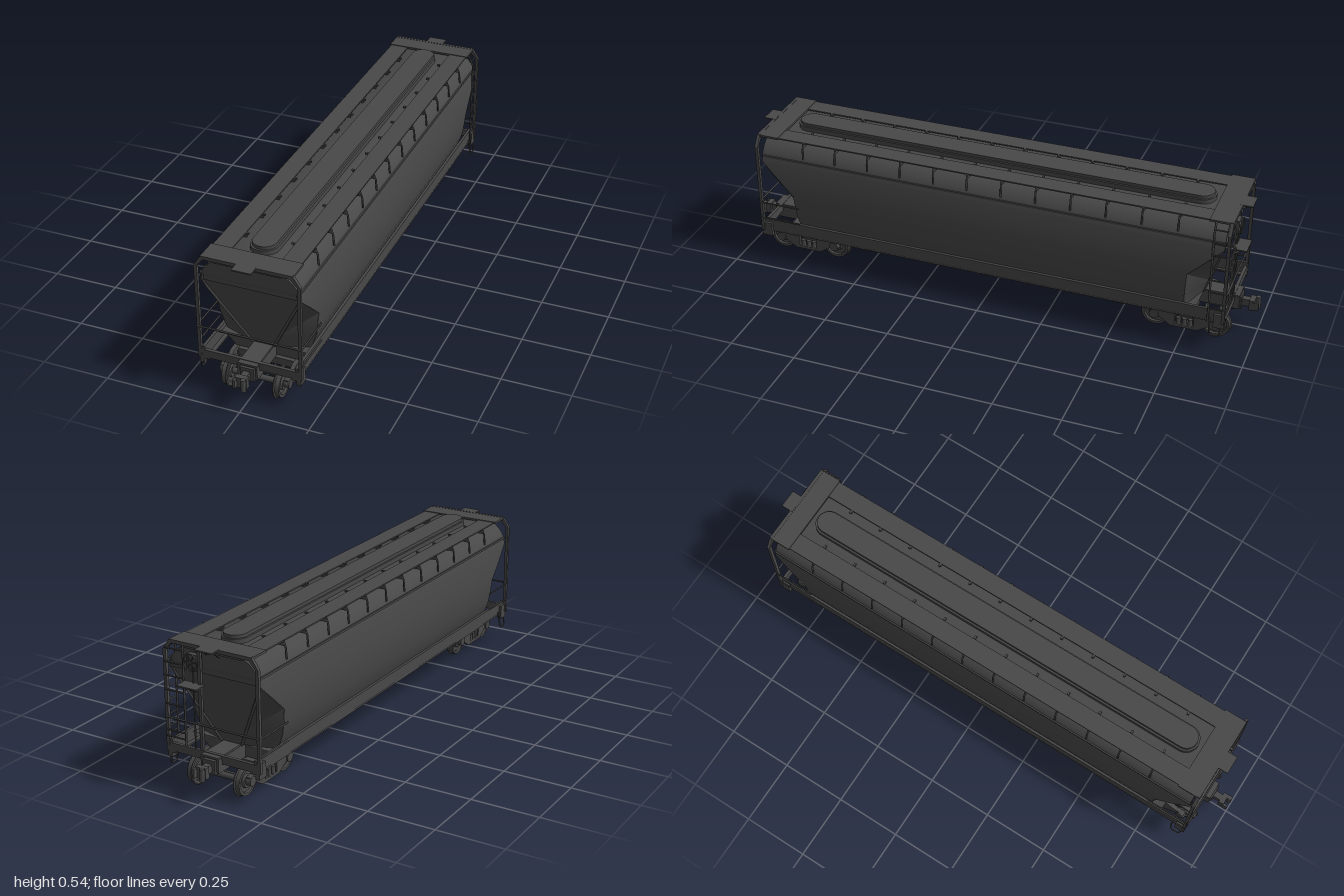
import * as THREE from 'three';
import { toCreasedNormals } from 'three/addons/utils/BufferGeometryUtils.js';

const grey = new THREE.MeshStandardMaterial({ color: 0x484848, side: THREE.DoubleSide });
grey.name = 'dark grey paint';

export function createModel() {
  const car = new THREE.Group();
  car.name = 'coveredHopperCar';

  const add = (name, geo, x = 0, y = 0, z = 0, parent = car) => {
    const m = new THREE.Mesh(geo, grey);
    m.name = name;
    m.position.set(x, y, z);
    parent.add(m);
    return m;
  };
  const box = (name, w, h, d, x, y, z, parent) => add(name, new THREE.BoxGeometry(w, h, d), x, y, z, parent);
  // straight rods joining a list of points
  const rod = (name, pts, r = 0.003, parent = car) => {
    const path = new THREE.CurvePath();
    const v = pts.map(p => new THREE.Vector3(...p));
    for (let i = 1; i < v.length; i++) path.add(new THREE.LineCurve3(v[i - 1], v[i]));
    return add(name, new THREE.TubeGeometry(path, (v.length - 1) * 4, r, 6), 0, 0, 0, parent);
  };
  // surface through rows of points with equal counts
  const sheet = (name, rows, parent = car) => {
    const n = rows[0].length, idx = [];
    for (let i = 0; i < rows.length - 1; i++)
      for (let j = 0; j < n - 1; j++) {
        const a = i * n + j, b = a + n;
        idx.push(a, b, a + 1, b, b + 1, a + 1);
      }
    const g = new THREE.BufferGeometry();
    g.setAttribute('position', new THREE.Float32BufferAttribute(rows.flat(2), 3));
    g.setIndex(idx);
    g.computeVertexNormals();
    return add(name, toCreasedNormals(g, 0.5), 0, 0, 0, parent);
  };
  const axle = (name, r, len, x, y, z, parent, seg = 24) => {
    const m = add(name, new THREE.CylinderGeometry(r, r, len, seg), x, y, z, parent);
    m.rotation.z = Math.PI / 2;
    return m;
  };

  // Body shell: half cross-section from sill to roof centre, mirrored
  const half = [[0.155, 0.14], [0.166, 0.17], [0.177, 0.2], [0.184, 0.24], [0.19, 0.3], [0.187, 0.36], [0.18, 0.42],
    [0.175, 0.445], [0.167, 0.462], [0.155, 0.478], [0.138, 0.493], [0.11, 0.505], [0, 0.51]];
  const endZ = y => y >= 0.42 ? 0.89 : y >= 0.3 ? 0.765 + (y - 0.3) / 0.12 * 0.125 : 0.755 + (y - 0.14) / 0.16 * 0.01;
  const section = [...half, ...half.slice(0, -1).reverse().map(([x, y]) => [-x, y])];
  sheet('bodyShell', [1, -1].map(s => section.map(([x, y]) => [x, y, s * endZ(y)])));

  // Sloped underside between the discharge bays
  const bays = [0.505, 0.035, -0.49];
  const floor = [[0.15, 0.8], [0.115, 0.595], [0.115, 0.415], [0.25, 0.27], [0.115, 0.125], [0.115, -0.055],
    [0.26, -0.228], [0.115, -0.4], [0.115, -0.58], [0.15, -0.8]];
  for (let i = 0; i < floor.length - 1; i++)
    sheet('floorSlope', [floor[i], floor[i + 1]].map(([y, z]) => [[-0.165, y, z], [0.165, y, z]]));

  // Discharge hoppers
  for (const c of bays) {
    const ring = (w, d, y) => [[w, y, c + d], [-w, y, c + d], [-w, y, c - d], [w, y, c - d], [w, y, c + d]];
    sheet('hopper', [ring(0.145, 0.1, 0.12), ring(0.115, 0.095, 0.105), ring(0.055, 0.032, 0.048), ring(0.055, 0.032, 0.04)]);
    box('hopperGate', 0.14, 0.008, 0.05, 0, 0.042, c);
    box('gateOutlet', 0.1, 0.014, 0.03, 0, 0.034, c);
    for (const s of [1, -1]) rod('hopperFlange', [[-0.145, 0.115, c + s * 0.1], [0.145, 0.115, c + s * 0.1]], 0.004);
  }

  // Side sills and eave strips
  for (const s of [1, -1]) {
    box('sideSill', 0.01, 0.05, 1.82, s * 0.17, 0.14, 0);
    box('sillLip', 0.025, 0.006, 1.82, s * 0.163, 0.117, 0);
    box('eaveStrip', 0.005, 0.008, 1.78, s * 0.177, 0.444, 0);
    box('roofWalkway', 0.07, 0.005, 1.66, s * 0.125, 0.519, 0);
    // Walkway brackets
    for (let i = 0; i < 12; i++) {
      const z = -0.72 + i * 0.131;
      rod('walkwayBracket', [[s * 0.173, 0.458, z], [s * 0.169, 0.5, z], [s * 0.16, 0.521, z]], 0.0035);
      box('walkwayBolt', 0.012, 0.006, 0.008, s * 0.083, 0.52, z);
      box('walkwayBeam', 0.08, 0.014, 0.006, s * 0.125, 0.51, z);
    }
  }

  // Long roof hatch with rounded ends
  const stadium = (r, l) => {
    const sh = new THREE.Shape();
    sh.absarc(0, l - r, r, 0, Math.PI);
    sh.absarc(0, -l + r, r, Math.PI, Math.PI * 2);
    sh.closePath();
    return sh;
  };
  [[0.05, 0.81, 0.505, 0.02], [0.043, 0.803, 0.525, 0.012]].forEach(([r, l, y, h]) => {
    const g = new THREE.ExtrudeGeometry(stadium(r, l), { depth: h, bevelEnabled: false, curveSegments: 16 });
    add('roofHatch', g.rotateX(-Math.PI / 2), 0, y, 0);
  });

  // Wheel profile with flange
  const wheelGeo = new THREE.LatheGeometry([[0, -0.008], [0.022, -0.01], [0.025, -0.004], [0.04, -0.004], [0.042, -0.012],
    [0.053, -0.012], [0.057, -0.009], [0.057, -0.006], [0.052, -0.003], [0.051, 0.012], [0.041, 0.012], [0.039, 0.004],
    [0.025, 0.004], [0.022, 0.012], [0, 0.012]].map(p => new THREE.Vector2(...p)), 28).rotateZ(-Math.PI / 2);
  const wheel = toCreasedNormals(wheelGeo, 0.6);

  // Truck side frame outline with spring window
  const frame = new THREE.Shape([[-0.125, 0.055], [-0.125, 0.078], [-0.09, 0.08], [-0.055, 0.096], [0.055, 0.096], [0.09, 0.08],
    [0.125, 0.078], [0.125, 0.055], [0.095, 0.053], [0.05, 0.024], [-0.05, 0.024], [-0.095, 0.053]].map(p => new THREE.Vector2(...p)));
  frame.holes.push(new THREE.Path([[-0.035, 0.036], [0.035, 0.036], [0.035, 0.08], [-0.035, 0.08]].map(p => new THREE.Vector2(...p))));
  const frameGeo = new THREE.ExtrudeGeometry(frame, { depth: 0.016, bevelEnabled: false }).rotateY(Math.PI / 2);

  for (const e of [1, -1]) {
    const end = new THREE.Group();
    end.name = e > 0 ? 'frontEnd' : 'backEnd';
    car.add(end);

    // Roof end wall, centre slope sheet and flanking wings
    const capPts = section.filter(([, y]) => y >= 0.42);
    add('roofEndWall', new THREE.ShapeGeometry(new THREE.Shape(capPts.map(p => new THREE.Vector2(...p)))), 0, 0, e * 0.889, end);
    const vee = [[0.17, 0.445, 0.892], [0.17, 0.4, 0.878], [0.118, 0.3, 0.848], [0.077, 0.22, 0.823], [0.04, 0.148, 0.8]];
    const side = [0.445, 0.42, 0.3, 0.21, 0.145].map((y, i) => [[0.175, 0.18, 0.19, 0.179, 0.157][i], y, endZ(y)]);
    const flip = (pts, s) => pts.map(([x, y, z]) => [x * s, y, z * e]);
    sheet('endSlopeSheet', [flip(vee, -1), flip(vee, 1)], end);
    for (const s of [1, -1]) {
      sheet('endWing', [flip(vee, s), flip(side, s)], end);
      rod('slopeRidge', flip(vee, s), 0.005, end);
    }

    // Roof end platform, small step with brackets
    box('roofEndPlatform', 0.33, 0.008, 0.085, 0, 0.52, e * 0.868, end);
    box('roofEndApron', 0.24, 0.016, 0.008, 0, 0.511, e * 0.9, end);
    box('roofStep', 0.07, 0.005, 0.045, 0, 0.523, e * 0.925, end);
    for (const s of [1, -1])
      sheet('stepBracket', [[[s * 0.02, 0.522, e * 0.935], [s * 0.028, 0.522, e * 0.935]],
        [[s * 0.02, 0.49, e * 0.892], [s * 0.028, 0.49, e * 0.892]]], end);

    // Hoop of flat bar around the end
    const hoop = (w, top, cut) => [[-w, 0.12], [-w, 0.485], [-w + cut, top], [w - cut, top], [w, 0.485], [w, 0.12]];
    const outline = [...hoop(0.19, 0.525, 0.027), ...hoop(0.178, 0.512, 0.024).reverse()];
    const hg = new THREE.ExtrudeGeometry(new THREE.Shape(outline.map(p => new THREE.Vector2(...p))), { depth: 0.012, bevelEnabled: false });
    add('endHoop', hg, 0, 0, e * 0.905 - 0.006, end);

    // End sill, centre sill and bolster
    box('endSill', 0.34, 0.03, 0.012, 0, 0.136, e * 0.905, end);
    for (const s of [1, -1]) {
      box('cornerPlate', 0.016, 0.055, 0.04, s * 0.177, 0.125, e * 0.89, end);
      box('centreSillSide', 0.008, 0.05, 0.34, s * 0.032, 0.118, e * 0.76, end);
    }
    box('centreSillTop', 0.07, 0.008, 0.34, 0, 0.145, e * 0.76, end);
    const bol = new THREE.Shape([[-0.165, 0.145], [0.165, 0.145], [0.115, 0.095], [-0.115, 0.095]].map(p => new THREE.Vector2(...p)));
    add('bodyBolster', new THREE.ExtrudeGeometry(bol, { depth: 0.05, bevelEnabled: false }), 0, 0, e * 0.75 - 0.025, end);

    // Coupler with knuckle
    box('couplerPocket', 0.05, 0.05, 0.03, 0, 0.112, e * 0.92, end);
    box('couplerShank', 0.024, 0.028, 0.06, 0, 0.11, e * 0.945, end);
    box('couplerHead', 0.042, 0.04, 0.02, 0, 0.108, e * 0.972, end);
    box('couplerGuard', 0.009, 0.032, 0.022, -e * 0.019, 0.108, e * 0.987, end);
    add('couplerKnuckle', new THREE.CylinderGeometry(0.009, 0.009, 0.046, 12), e * 0.013, 0.108, e * 0.99, end);

    // End and side handrails
    rod('endHandrail', [[-0.189, 0.245, e * 0.912], [0.189, 0.245, e * 0.912]], 0.0035, end);
    for (const s of [1, -1]) if (e > 0 || s < 0)
      for (const y of [0.245, 0.177]) rod('sideHandrail', [[s * 0.19, y, e * 0.908], [s * 0.19, y, e * 0.745]], 0.003, end);

    // Stirrup step below one corner
    rod('stirrup', [[-e * 0.177, 0.13, e * 0.9], [-e * 0.188, 0.065, e * 0.895], [-e * 0.188, 0.065, e * 0.86],
      [-e * 0.177, 0.13, e * 0.855]], 0.003, end);

    // Truck
    const truck = new THREE.Group();
    truck.name = 'truck';
    truck.position.z = e * 0.752;
    end.add(truck);
    for (const z of [0.112, -0.112]) {
      axle('axle', 0.011, 0.24, 0, 0.057, z, truck, 12);
      for (const s of [1, -1]) {
        add('wheel', wheel, s * 0.094, 0.057, z, truck).rotation.y = s < 0 ? Math.PI : 0;
        axle('bearing', 0.018, 0.02, s * 0.118, 0.062, z, truck, 16);
      }
      box('brakeBeam', 0.145, 0.008, 0.01, 0, 0.031, z * 0.42, truck);
    }
    box('truckBolster', 0.22, 0.028, 0.05, 0, 0.07, 0, truck);
    add('centrePlate', new THREE.CylinderGeometry(0.03, 0.03, 0.02, 20), 0, 0.09, 0, truck);
    for (const s of [1, -1]) {
      add('sideFrame', frameGeo, s * 0.115 - 0.008, 0, 0, truck);
      for (const z of [-0.022, 0, 0.022])
        add('spring', new THREE.CylinderGeometry(0.009, 0.009, 0.03, 10), s * 0.115, 0.047, z, truck);
    }
  }

  // Ladders at the back corner
  const rungs = [0.177, 0.2, 0.245, 0.295, 0.345, 0.397, 0.445, 0.495];
  rod('ladderStile', [[0.185, 0.12, -0.85], [0.185, 0.49, -0.85], [0.165, 0.52, -0.85]], 0.004);
  rod('ladderStile', [[0.11, 0.13, -0.907], [0.11, 0.515, -0.907]], 0.004);
  for (const y of rungs) {
    const x = y > 0.48 ? 0.178 : 0.189;
    rod('sideRung', [[x, y, -0.848], [x, y, -0.907]], 0.003);
    rod('endRung', [[0.11, y, -0.914], [0.182, y, -0.914]], 0.003);
  }

  // Brake platform, post and hand wheel
  box('brakePlatform', 0.08, 0.005, 0.05, 0.068, 0.385, -0.928);
  sheet('platformBracket', [[[0.05, 0.383, -0.945], [0.09, 0.383, -0.945]], [[0.05, 0.355, -0.905], [0.09, 0.355, -0.905]]]);
  box('brakePost', 0.012, 0.39, 0.01, 0.045, 0.325, -0.905);
  box('brakeHousing', 0.04, 0.05, 0.02, 0.07, 0.465, -0.905);
  add('brakeWheel', new THREE.TorusGeometry(0.028, 0.003, 6, 24), 0.07, 0.465, -0.922);
  for (let i = 0; i < 3; i++) box('wheelSpoke', 0.054, 0.004, 0.003, 0.07, 0.465, -0.922).rotation.z = i * Math.PI / 3;
  rod('brakeRod', [[0.07, 0.44, -0.908], [0.07, 0.15, -0.908]], 0.003);

  return car;
}
